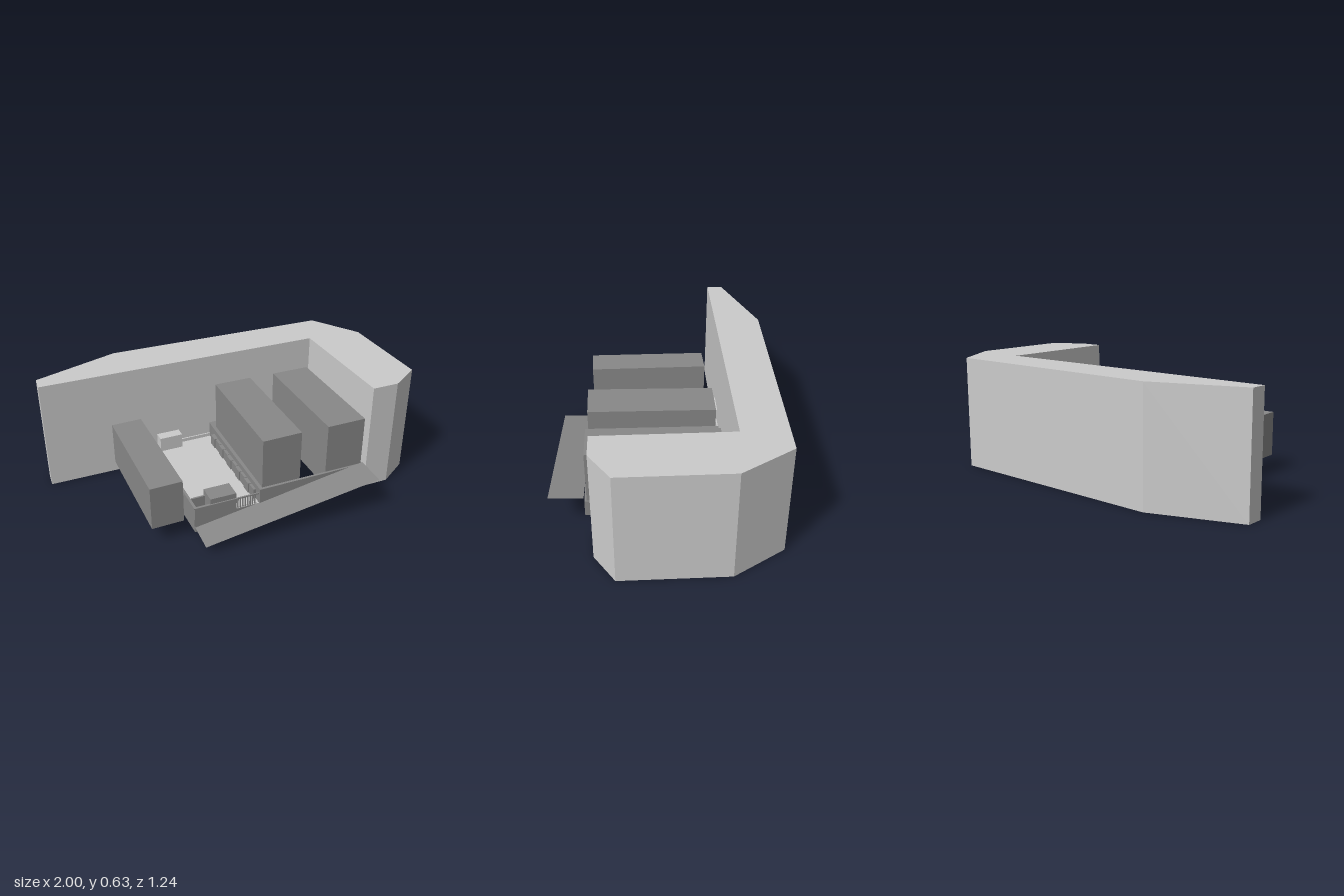
import * as THREE from 'three';

const light = new THREE.MeshStandardMaterial({ color: 0xcccccc, flatShading: true, side: THREE.DoubleSide });
const dark = new THREE.MeshStandardMaterial({ color: 0x888888, flatShading: true, side: THREE.DoubleSide });

// Shape from plan points [x, z]; shape y is -z so it can be laid flat
const plan = (pts) => new THREE.Shape(pts.map(([x, z]) => new THREE.Vector2(x, -z)));

// Upright solid over a plan outline, with an optional hole
function prism(name, pts, y0, y1, material, hole) {
  const shape = plan(pts);
  if (hole) shape.holes.push(plan(hole));
  const geo = new THREE.ExtrudeGeometry(shape, { depth: y1 - y0, bevelEnabled: false });
  geo.rotateX(-Math.PI / 2).translate(0, y0, 0);
  const mesh = new THREE.Mesh(geo, material);
  mesh.name = name;
  return mesh;
}

// Flat sheet over a plan outline
function sheet(name, pts, y, material) {
  const geo = new THREE.ShapeGeometry(plan(pts));
  geo.rotateX(-Math.PI / 2).translate(0, y, 0);
  const mesh = new THREE.Mesh(geo, material);
  mesh.name = name;
  return mesh;
}

// Closed loop of vertical faces along a plan outline
function sides(name, pts, y0, y1, material) {
  const pos = [];
  pts.forEach(([ax, az], i) => {
    const [bx, bz] = pts[(i + 1) % pts.length];
    pos.push(ax, y0, az, bx, y1, bz, bx, y0, bz, ax, y0, az, ax, y1, az, bx, y1, bz);
  });
  const geo = new THREE.BufferGeometry();
  geo.setAttribute('position', new THREE.Float32BufferAttribute(pos, 3));
  geo.computeVertexNormals();
  const mesh = new THREE.Mesh(geo, material);
  mesh.name = name;
  return mesh;
}

// Thin straight wall between two plan points
function wall(name, [ax, az], [bx, bz], t, y0, y1, material) {
  const geo = new THREE.BoxGeometry(Math.hypot(bx - ax, bz - az), y1 - y0, t);
  const mesh = new THREE.Mesh(geo, material);
  mesh.position.set((ax + bx) / 2, (y0 + y1) / 2, (az + bz) / 2);
  mesh.rotation.y = -Math.atan2(bz - az, bx - ax);
  mesh.name = name;
  return mesh;
}

export function createModel() {
  const model = new THREE.Group();
  model.name = 'buildingComplex';

  // Tall L-shaped main building, open underneath
  const outline = [[-1, -0.36], [-0.53, -0.56], [0.77, -0.625], [0.96, -0.36], [1, 0.21],
    [0.84, 0.33], [0.69, 0.34], [0.64, -0.375], [-1, -0.27]];
  const main = new THREE.Group();
  main.name = 'mainBuilding';
  main.add(sides('mainWalls', outline, 0, 0.63, light), sheet('mainRoof', outline, 0.63, light));
  model.add(main);

  // Three parallel wings
  model.add(
    prism('leftWing', [[-0.63, -0.23], [-0.46, -0.245], [-0.41, 0.435], [-0.585, 0.45]], 0.1, 0.345, dark),
    prism('middleWing', [[0, -0.27], [0.22, -0.285], [0.255, 0.395], [0.03, 0.413]], 0.1, 0.475, dark),
    prism('rightWing', [[0.37, -0.29], [0.595, -0.305], [0.633, 0.375], [0.41, 0.39]], 0.1, 0.475, dark));

  // Low plinth ring joining two wings, with a deeper bar at the back
  model.add(
    prism('plinthRing', [[-0.022, -0.29], [0.605, -0.32], [0.642, 0.386], [0.012, 0.43]], 0.1, 0.19, dark,
      [[0, -0.28], [0.595, -0.308], [0.63, 0.375], [0.03, 0.413]]),
    prism('plinthBackBar', [[-0.022, -0.333], [0.64, -0.378], [0.645, -0.312], [-0.02, -0.272]], 0.1, 0.19, dark));

  // Courtyard floor and its retaining walls
  model.add(
    sheet('courtyardFloor', [[-0.405, -0.308], [-0.02, -0.335], [0.015, 0.42], [-0.352, 0.44]], 0.1, light),
    wall('courtyardLeftWall', [-0.405, -0.305], [-0.349, 0.44], 0.014, 0.015, 0.165, dark),
    wall('courtyardFrontWall', [-0.355, 0.438], [-0.12, 0.424], 0.014, 0.015, 0.165, dark),
    wall('courtyardFrontBeam', [-0.12, 0.424], [0.02, 0.416], 0.014, 0.08, 0.1, dark));

  // Railing of upright bars beside the front wall
  const railing = new THREE.Group();
  railing.name = 'frontRailing';
  for (let i = 0; i < 8; i++) {
    const bar = new THREE.Mesh(new THREE.BoxGeometry(0.006, 0.06, 0.008), dark);
    bar.position.set(-0.11 + i * 0.014, 0.13, 0.423 - i * 0.0008);
    bar.name = 'railingBar';
    railing.add(bar);
  }
  railing.add(wall('railingTop', [-0.12, 0.424], [0.01, 0.416], 0.008, 0.156, 0.164, dark));
  model.add(railing);

  // Row of low blocks along the middle wing
  const row = new THREE.Group();
  row.name = 'sideBlocks';
  for (let i = 0; i < 10; i++) {
    const block = new THREE.Mesh(new THREE.BoxGeometry(i % 2 ? 0.016 : 0.026, 0.06, 0.058), dark);
    block.position.set(-0.028 + i * 0.0033, 0.13, -0.21 + i * 0.062);
    block.rotation.y = 0.052;
    block.name = 'sideBlock';
    row.add(block);
  }
  model.add(row);

  // Small structures in the courtyard
  model.add(
    prism('frontHut', [[-0.27, 0.332], [-0.125, 0.322], [-0.12, 0.424], [-0.265, 0.432]], 0.09, 0.195, dark),
    wall('hutSideWall', [-0.345, 0.352], [-0.268, 0.345], 0.01, 0.1, 0.165, dark),
    prism('backHut', [[-0.355, -0.315], [-0.22, -0.325], [-0.216, -0.26], [-0.35, -0.25]], 0.1, 0.185, light),
    wall('backRail', [-0.22, -0.314], [-0.02, -0.328], 0.008, 0.1, 0.12, light));

  // Thin sloping ramp along the front, rising to the model's left
  const ramp = sheet('frontRamp', [[-0.355, 0.445], [0.635, 0.39], [0.64, 0.572], [-0.35, 0.618]], 0, dark);
  const p = ramp.geometry.attributes.position;
  for (let i = 0; i < p.count; i++) p.setY(i, p.getX(i) > 0 ? 0.205 : 0.045);
  ramp.geometry.computeVertexNormals();
  model.add(ramp);

  return model;
}
